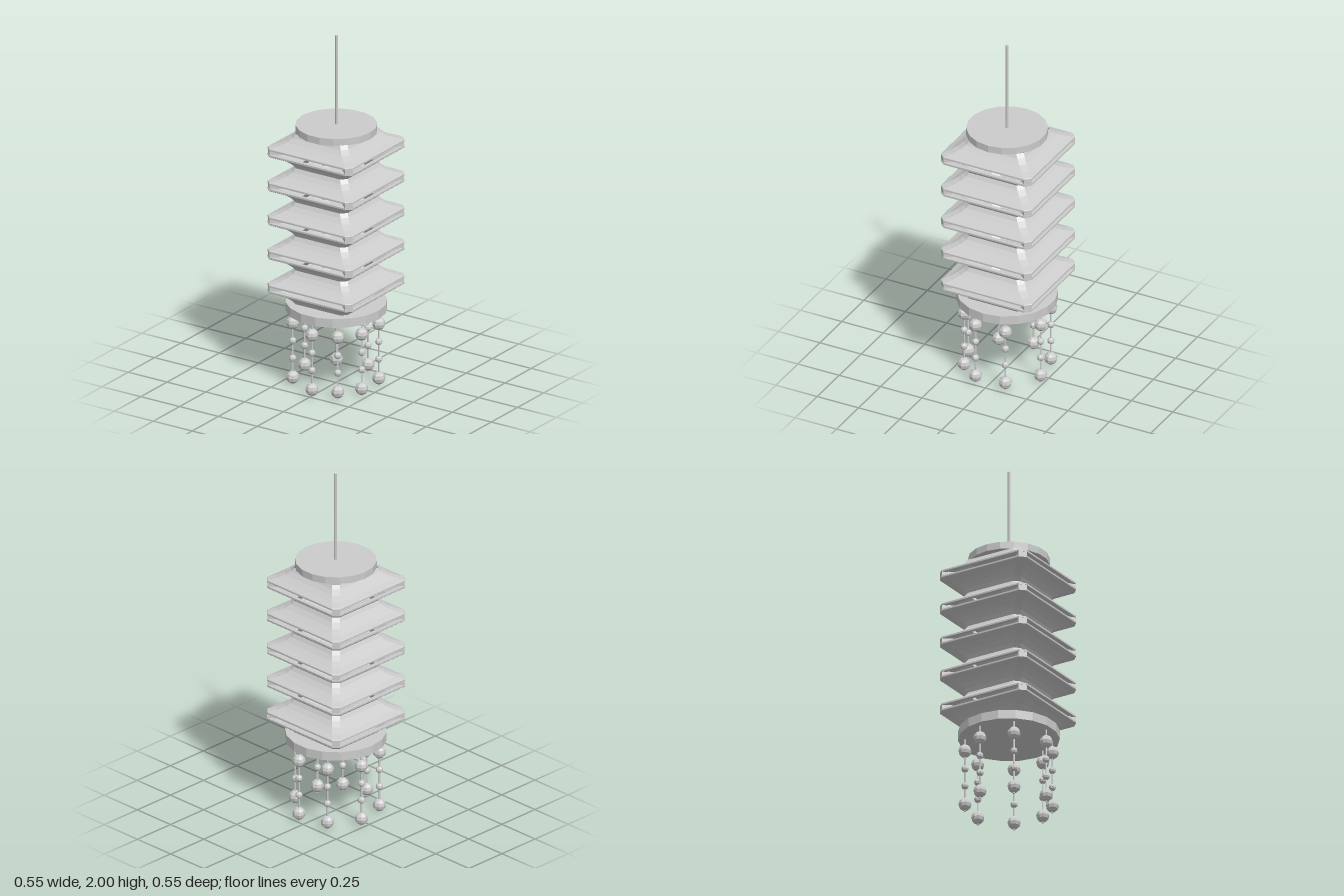
import * as THREE from 'three';

const material = new THREE.MeshStandardMaterial({ color: 0xcccccc, flatShading: true });

function add(parent, name, geometry, x = 0, y = 0, z = 0) {
  const mesh = new THREE.Mesh(geometry, material);
  mesh.name = name;
  mesh.position.set(x, y, z);
  parent.add(mesh);
  return mesh;
}

// Square outline with cut corners, running from the front towards +x
function cutSquare(half, y) {
  const k = half - 0.03;
  return [[-k, half], [k, half], [half, k], [half, -k], [k, -half], [-k, -half], [-half, -k], [-half, k]]
    .map(([x, z]) => [x, y, z]);
}

// Skin between cut squares given as [half width, height]
function loft(profile) {
  const rings = profile.map(([half, y]) => cutSquare(half, y));
  const positions = [];
  for (let j = 0; j < rings.length - 1; j++) {
    for (let i = 0; i < 8; i++) {
      const n = (i + 1) % 8;
      const a = rings[j][i], b = rings[j][n], c = rings[j + 1][i], d = rings[j + 1][n];
      positions.push(...c, ...d, ...b, ...c, ...b, ...a);
    }
  }
  const geometry = new THREE.BufferGeometry();
  geometry.setAttribute('position', new THREE.Float32BufferAttribute(positions, 3));
  geometry.computeVertexNormals();
  return geometry;
}

function disc(radius, height) {
  return new THREE.CylinderGeometry(radius, radius, height, 18).rotateY(Math.PI / 2);
}

export function createModel() {
  const model = new THREE.Group();
  model.name = 'hangingLantern';

  // Hanging cord and end discs
  add(model, 'cord', new THREE.CylinderGeometry(0.008, 0.008, 0.52, 8), 0.004, 1.74, 0);
  add(model, 'topDisc', disc(0.219, 0.04), 0.002, 1.47, 0);
  add(model, 'bottomDisc', disc(0.272, 0.05), 0.002, 0.45, 0);

  // Five tiers: flared upper and lower shells, held apart by corner struts
  const shell = loft([
    [0.172, 0.098], [0.185, 0.077], [0.208, 0.055], [0.24, 0.036], [0.272, 0.024],
    [0.275, 0.021], [0.275, 0.012], [0.255, 0.012], [0.2, 0.05], [0.162, 0.098],
  ]);
  const strut = new THREE.BoxGeometry(0.044, 0.03, 0.11);
  for (let i = 0; i < 5; i++) {
    const tier = new THREE.Group();
    tier.name = 'tier';
    tier.position.set(-0.002, 1.355 - 0.196 * i, -0.003);
    add(tier, 'upperShell', shell);
    add(tier, 'lowerShell', shell).scale.y = -1;
    for (let c = 0; c < 4; c++) {
      const angle = Math.PI / 4 + c * Math.PI / 2;
      add(tier, 'cornerStrut', strut, Math.sin(angle) * 0.311, 0, Math.cos(angle) * 0.311).rotation.y = angle;
    }
    model.add(tier);
  }

  // Eight unevenly spaced bead strands around the bottom disc
  const largeBead = new THREE.SphereGeometry(0.036, 8, 6);
  const smallBead = new THREE.SphereGeometry(0.02, 8, 6);
  const string = new THREE.CylinderGeometry(0.005, 0.005, 0.43, 6);
  for (const degrees of [1, 37, 71, 115, 167, 214, 261, 309]) {
    const angle = THREE.MathUtils.degToRad(degrees);
    const strand = new THREE.Group();
    strand.name = 'beadStrand';
    strand.position.set(Math.sin(angle) * 0.23, 0, Math.cos(angle) * 0.235);
    add(strand, 'string', string, 0, 0.215, 0);
    for (const y of [0.042, 0.355]) add(strand, 'largeBead', largeBead, 0, y, 0);
    for (const y of [0.15, 0.25]) add(strand, 'smallBead', smallBead, 0, y, 0);
    model.add(strand);
  }

  return model;
}
